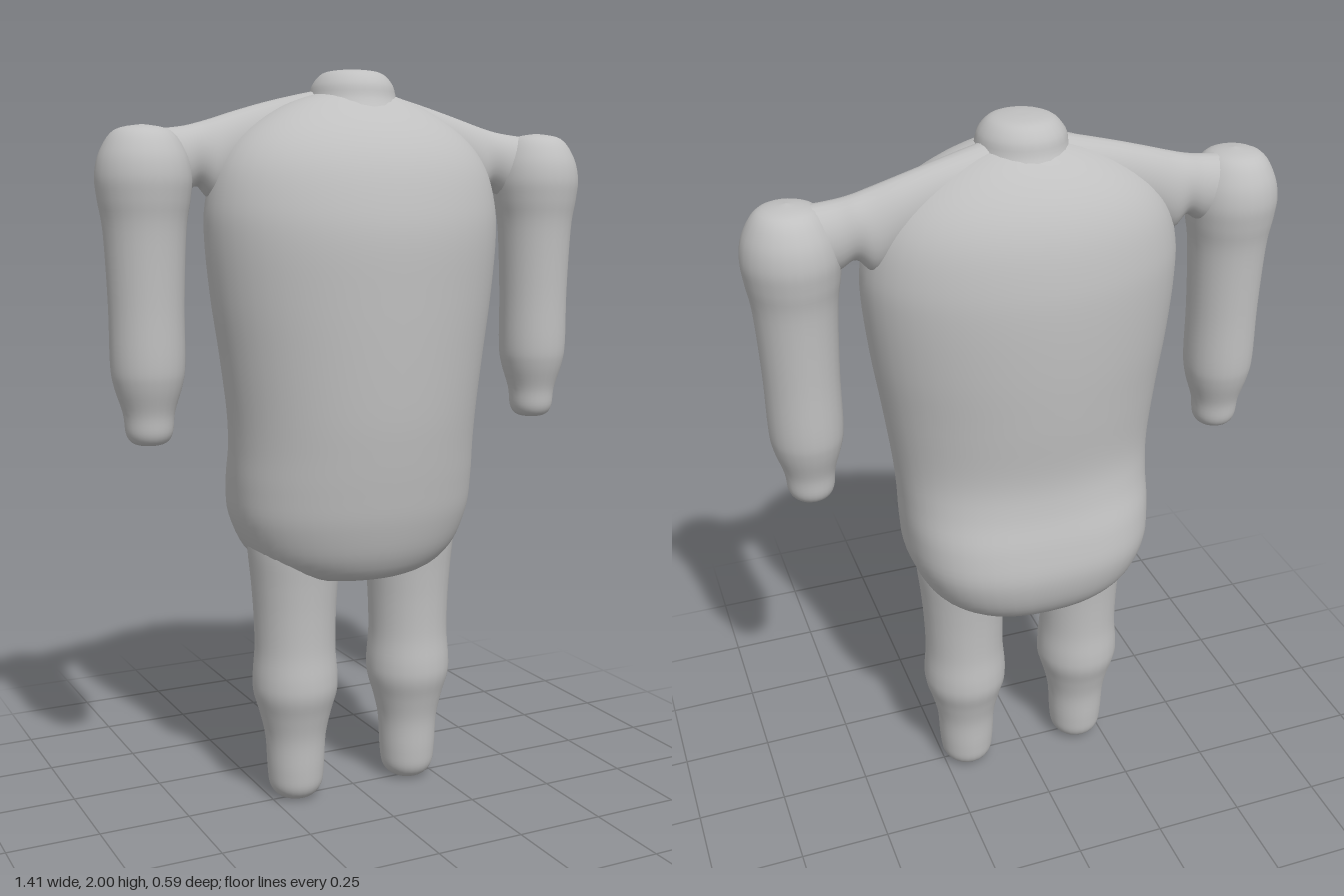
import * as THREE from 'three';

const grey = new THREE.MeshStandardMaterial({ color: 0xc0c0c0 });
grey.name = 'plain grey';

// Catmull-Rom blend through rows of numbers, u in 0..1
function sample(rows, u) {
  const n = rows.length - 1;
  const i = Math.min(Math.floor(u * n), n - 1), t = u * n - i;
  const [p, a, b, q] = [i - 1, i, i + 1, i + 2].map(k => rows[Math.max(0, Math.min(n, k))]);
  return a.map((v, k) => {
    const m0 = (b[k] - p[k]) / 2, m1 = (q[k] - v) / 2, d = b[k] - v;
    return v + m0 * t + (3 * d - 2 * m0 - m1) * t * t + (m0 + m1 - 2 * d) * t * t * t;
  });
}

// Closed-ring loft; place(section, cos, sin) returns a point
function loft(rows, steps, sides, place) {
  const pos = [], idx = [];
  for (let i = 0; i <= steps; i++) {
    const s = sample(rows, i / steps);
    for (let j = 0; j < sides; j++) {
      const a = (j / sides) * Math.PI * 2;
      pos.push(...place(s, Math.cos(a), Math.sin(a)));
      if (i === steps) continue;
      const p = i * sides + j, q = i * sides + (j + 1) % sides;
      idx.push(p, p + sides, q, q, p + sides, q + sides);
    }
  }
  const g = new THREE.BufferGeometry();
  g.setAttribute('position', new THREE.Float32BufferAttribute(pos, 3));
  g.setIndex(idx);
  g.computeVertexNormals();
  return g;
}

// Round limb from [radius, height] pairs, bottom to top
function turned(profile, steps) {
  const curve = new THREE.SplineCurve(profile.map(p => new THREE.Vector2(...p)));
  const pts = curve.getPoints(steps).map(p => p.setX(Math.max(0, p.x)));
  return new THREE.LatheGeometry(pts, 24);
}

export function createModel() {
  const model = new THREE.Group();
  model.name = 'body';
  const add = (name, geometry, x = 0, z = 0) => {
    const mesh = new THREE.Mesh(geometry, grey);
    mesh.name = name;
    mesh.position.set(x, 0, z);
    model.add(mesh);
  };

  // Torso: height, half width, front depth, back depth, back squareness
  const torso = [
    [0.625, 0.01, 0.01, 0.01, 2],
    [0.645, 0.19, 0.15, 0.19, 2.3],
    [0.70, 0.285, 0.205, 0.262, 2.6],
    [0.80, 0.335, 0.238, 0.292, 2.7],
    [0.90, 0.347, 0.255, 0.28, 2.6],
    [1.00, 0.35, 0.268, 0.255, 2.3],
    [1.10, 0.358, 0.278, 0.245, 2.1],
    [1.25, 0.378, 0.286, 0.258, 2],
    [1.40, 0.40, 0.291, 0.268, 2],
    [1.55, 0.415, 0.292, 0.271, 2],
    [1.65, 0.413, 0.277, 0.264, 2],
    [1.75, 0.385, 0.245, 0.243, 2],
    [1.83, 0.32, 0.195, 0.205, 2],
    [1.90, 0.21, 0.125, 0.145, 2],
    [1.94, 0.09, 0.07, 0.08, 2],
    [1.95, 0.005, 0.005, 0.005, 2],
  ];
  add('torso', loft(torso, 75, 48, ([y, w, front, back, n], c, s) => {
    const e = s < 0 ? 2 / n : 1;
    return [
      w * Math.sign(c) * Math.abs(c) ** e, y,
      s < 0 ? -back * Math.abs(s) ** e : front * s,
    ];
  }));

  // Neck stump
  add('neck', turned([[0.15, 1.87], [0.12, 1.92], [0.108, 1.96], [0.08, 1.99], [0.035, 1.999], [0, 2]], 20), 0, -0.005);

  // Shoulder bridge: x, top, bottom, half depth, z centre
  const side = [
    [0.10, 1.945, 1.76, 0.07, -0.025],
    [0.22, 1.918, 1.74, 0.06, -0.035],
    [0.32, 1.890, 1.70, 0.06, -0.035],
    [0.39, 1.868, 1.66, 0.063, -0.03],
    [0.435, 1.855, 1.695, 0.058, -0.028],
    [0.48, 1.845, 1.67, 0.062, -0.02],
    [0.56, 1.835, 1.64, 0.07, -0.01],
  ];
  const bridge = [
    ...side.map(([x, ...r]) => [-x, ...r]).reverse(),
    [0, 1.96, 1.77, 0.075, -0.02],
    ...side,
  ];
  add('shoulders', loft(bridge, 84, 24, ([x, top, bottom, d, z], c, s) =>
    [x, (top + bottom) / 2 + c * (top - bottom) / 2, z - s * d]));

  // Arms and legs
  const arm = turned([
    [0, 1.035], [0.04, 1.04], [0.06, 1.065], [0.067, 1.12], [0.088, 1.19], [0.096, 1.25],
    [0.097, 1.40], [0.105, 1.58], [0.117, 1.66], [0.122, 1.72], [0.108, 1.78], [0.07, 1.832], [0, 1.847],
  ], 60);
  const leg = turned([
    [0, 0], [0.045, 0.006], [0.072, 0.035], [0.08, 0.09], [0.085, 0.18], [0.10, 0.25],
    [0.117, 0.31], [0.119, 0.36], [0.113, 0.44], [0.115, 0.54], [0.121, 0.63], [0.13, 0.74], [0.12, 0.82],
  ], 60);
  for (const [label, s] of [['left', 1], ['right', -1]]) {
    add(label + 'Arm', arm, 0.585 * s, -0.003);
    add(label + 'Leg', leg, 0.178 * s, -0.005);
  }
  return model;
}
